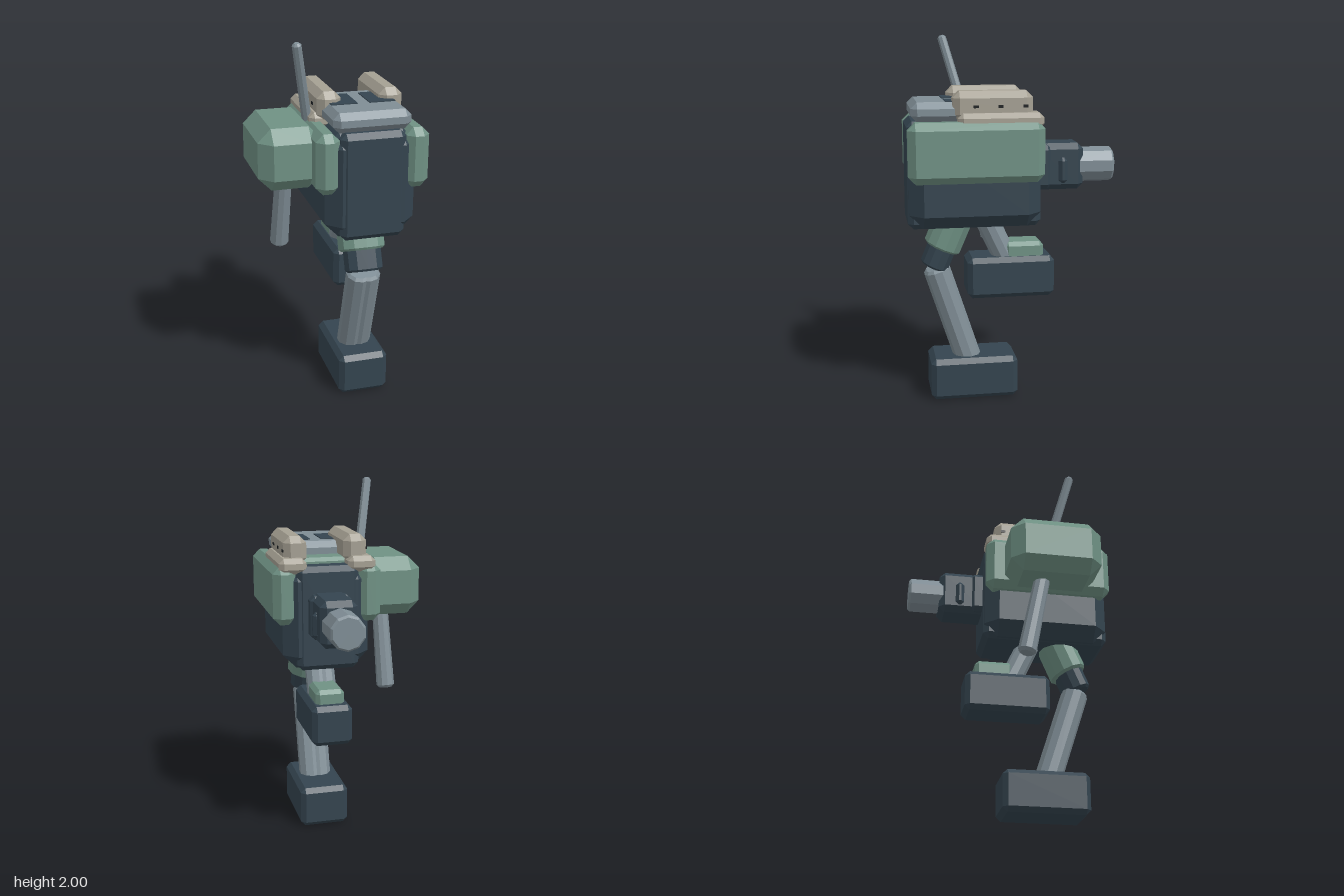
import * as THREE from 'three';
import { ConvexGeometry } from 'three/addons/geometries/ConvexGeometry.js';

const mat = (name, color) => {
  const m = new THREE.MeshStandardMaterial({ color });
  m.name = name;
  return m;
};

export function createModel() {
  const model = new THREE.Group();
  model.name = 'walker';
  const dark = mat('dark slate', 0x34444f);
  const green = mat('sage green', 0x6f9184);
  const grey = mat('steel grey', 0x7f8d95);
  const beige = mat('warm beige', 0xa5a093);
  const black = mat('black', 0x14181b);
  const CX = 0.132; // centre plane of the hull

  const add = (name, geometry, material) => {
    const mesh = new THREE.Mesh(geometry, material);
    mesh.name = name;
    model.add(mesh);
    return mesh;
  };

  // Box with chamfered edges, given by its min/max on each axis
  function block(name, material, [x0, x1], [y0, y1], [z0, z1], c) {
    const h = [(x1 - x0) / 2, (y1 - y0) / 2, (z1 - z0) / 2];
    const pts = [];
    for (const sx of [-1, 1]) for (const sy of [-1, 1]) for (const sz of [-1, 1]) {
      for (let a = 0; a < 3; a++) {
        const e = h.map((v, i) => (i === a ? v : v - c));
        pts.push(new THREE.Vector3(sx * e[0], sy * e[1], sz * e[2]));
      }
    }
    const mesh = add(name, new ConvexGeometry(pts), material);
    mesh.position.set((x0 + x1) / 2, (y0 + y1) / 2, (z0 + z1) / 2);
    return mesh;
  }

  // Faceted rod with chamfered ends from a to b, optionally widened in x
  function rod(name, material, a, b, r0, r1 = r0, c = 0.015, widen = 1, sides = 10) {
    const from = new THREE.Vector3(...a);
    const dir = new THREE.Vector3(...b).sub(from);
    const len = dir.length();
    const profile = [[0, 0], [r0 - c, 0], [r0, c], [r1, len - c], [r1 - c, len], [0, len]];
    const lathe = new THREE.LatheGeometry(profile.map(p => new THREE.Vector2(...p)), sides);
    const geo = lathe.toNonIndexed();
    geo.scale(widen, 1, 1);
    geo.computeVertexNormals();
    const mesh = add(name, geo, material);
    mesh.position.copy(from);
    mesh.quaternion.setFromUnitVectors(new THREE.Vector3(0, 1, 0), dir.normalize());
    return mesh;
  }

  // Two overlapping rods side by side
  function twinRod(name, material, [y0, z0], [y1, z1], r, offset) {
    for (const s of [-1, 1]) {
      const x = CX + s * offset;
      rod(name, material, [x, y0, z0], [x, y1, z1], r);
    }
  }

  // Hull: wide body with a narrower keel running front to back
  block('hull', dark, [-0.11, 0.376], [0.995, 1.565], [-0.145, 0.563], 0.075);
  block('hullKeel', dark, [-0.042, 0.306], [0.99, 1.568], [-0.15, 0.57], 0.03);
  block('rearDeck', green, [-0.04, 0.304], [1.5, 1.6], [-0.045, 0.2], 0.02);

  // Roof lid with two hatches
  block('roofLid', grey, [-0.076, 0.34], [1.565, 1.67], [0.08, 0.547], 0.034);
  for (const s of [-1, 1]) {
    const hatch = add('roofHatch', new THREE.BoxGeometry(0.14, 0.008, 0.2), dark);
    hatch.position.set(CX + s * 0.102, 1.671, 0.266);
  }

  // Mirrored side armour and roof launchers
  for (const s of [-1, 1]) {
    const span = (a, b) => (s > 0 ? [CX + a, CX + b] : [CX - b, CX - a]);
    block('sideArmour', green, span(0.175, 0.302), [1.25, 1.572], [-0.15, 0.57], 0.04);
    block('launcherBase', beige, span(0.115, 0.268), [1.53, 1.615], [-0.148, 0.305], 0.026);
    block('launcher', beige, span(0.103, 0.232), [1.57, 1.727], [-0.095, 0.33], 0.036);
    for (const z of [0.21, 0.08, -0.05]) {
      const slot = add('launcherSlot', new THREE.BoxGeometry(0.006, 0.014, 0.026), black);
      slot.position.set(CX + s * 0.233, 1.648, z);
    }
  }

  // Rear engine housing with side ribs and exhaust barrel
  block('engineMount', dark, [0.017, 0.247], [1.18, 1.42], [-0.222, -0.1], 0.025);
  block('engineHousing', dark, [0.03, 0.234], [1.172, 1.427], [-0.4, -0.12], 0.032);
  block('engineRib', dark, [0.01, 0.254], [1.21, 1.352], [-0.306, -0.257], 0.018);
  rod('exhaustBarrel', grey, [CX, 1.298, -0.35], [CX, 1.298, -0.575], 0.097, 0.097, 0.012);

  // Side pod with hanging barrel and antenna
  block('sidePod', green, [-0.437, -0.1], [1.25, 1.58], [-0.05, 0.465], 0.07);
  rod('podBarrel', grey, [-0.256, 0.802, 0.055], [-0.243, 1.32, 0.16], 0.052, 0.045);
  rod('antenna', grey, [-0.12, 1.5, 0.197], [-0.215, 1.995, 0.334], 0.027, 0.025, 0.012, 1, 8);

  // Standing leg
  block('frontFoot', dark, [-0.008, 0.272], [0, 0.235], [-0.03, 0.455], 0.027);
  twinRod('frontShin', grey, [0.18, 0.23], [0.74, 0.412], 0.074, 0.021);
  rod('frontKnee', dark, [CX, 0.745, 0.424], [CX, 0.93, 0.345], 0.082, 0.082, 0.012, 1.32, 12);
  rod('frontThigh', green, [CX, 0.852, 0.378], [CX, 1.08, 0.28], 0.106, 0.106, 0.012, 1.25, 12);

  // Raised leg
  block('rearFoot', dark, [0.017, 0.247], [0.573, 0.802], [-0.24, 0.245], 0.027);
  block('rearFootGuard', green, [0.05, 0.214], [0.76, 0.88], [-0.182, 0.035], 0.022);
  twinRod('rearLeg', grey, [0.74, 0.005], [1.06, 0.155], 0.065, 0.02);

  return model;
}
